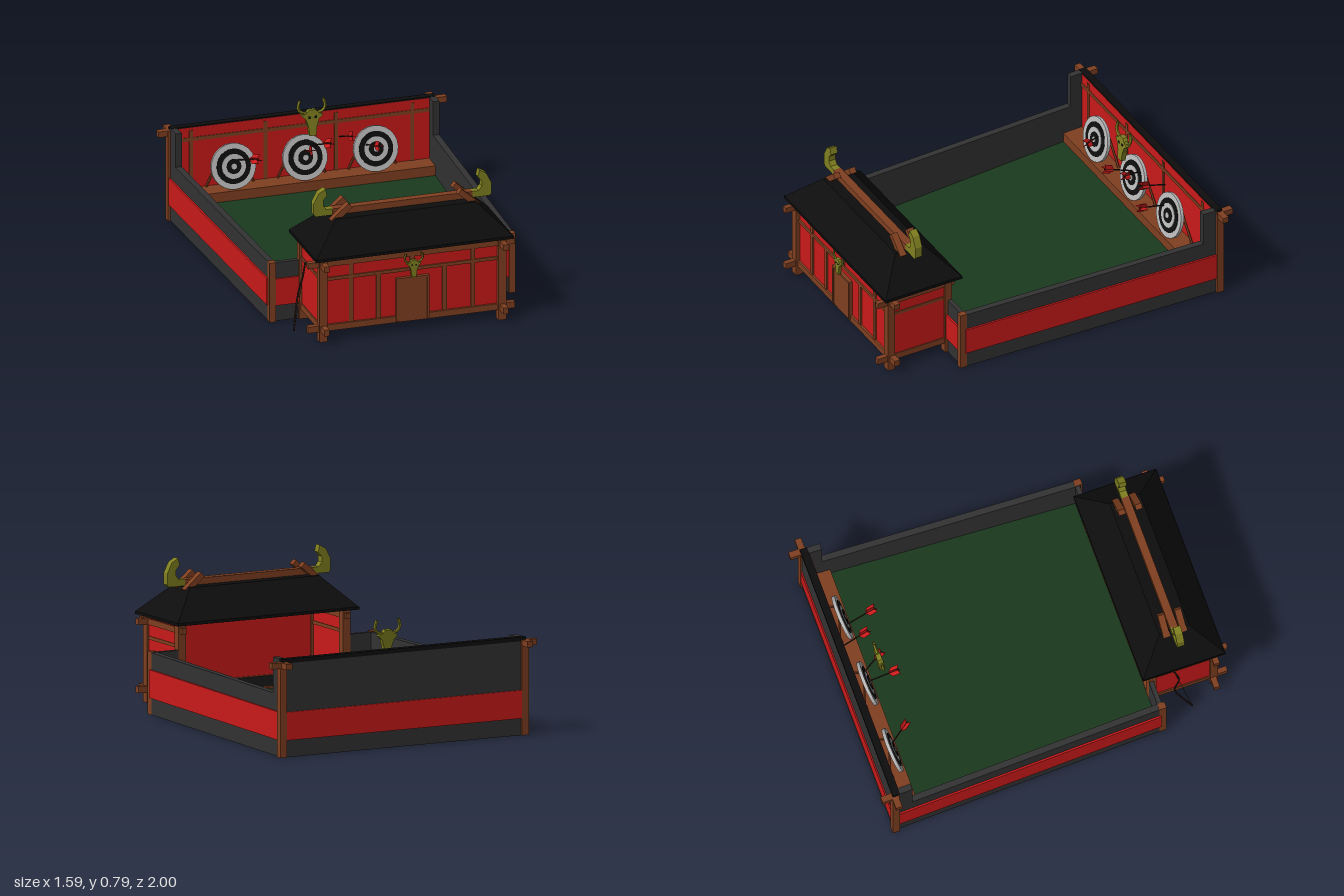
import * as THREE from 'three';

const mat = (color) => new THREE.MeshStandardMaterial({ color, flatShading: true, side: THREE.DoubleSide });
const WOOD = mat(0x804020), RED = mat(0xcc1a1a), DARK = mat(0x333333), BLACK = mat(0x0d0d0d);
const GREEN = mat(0x1a3a1e), BONE = mat(0x808020), WHITE = mat(0xb8b8b8), SHAFT = mat(0x2a1a12);

function add(parent, name, geometry, material) {
  const mesh = new THREE.Mesh(geometry, material);
  mesh.name = name;
  parent.add(mesh);
  return mesh;
}

// Box given by its limits on each axis
function box(parent, name, material, x0, x1, y0, y1, z0, z1) {
  const m = add(parent, name, new THREE.BoxGeometry(x1 - x0, y1 - y0, z1 - z0), material);
  m.position.set((x0 + x1) / 2, (y0 + y1) / 2, (z0 + z1) / 2);
  return m;
}

// Round bar between two points
function rod(parent, name, material, a, b, r) {
  const A = new THREE.Vector3(...a), B = new THREE.Vector3(...b);
  const m = add(parent, name, new THREE.CylinderGeometry(r, r, A.distanceTo(B), 5), material);
  m.position.copy(A).lerp(B, 0.5);
  m.quaternion.setFromUnitVectors(new THREE.Vector3(0, 1, 0), B.sub(A).normalize());
  return m;
}

function outline(points, depth) {
  const shape = new THREE.Shape(points.map(([x, y]) => new THREE.Vector2(x, y)));
  return new THREE.ExtrudeGeometry(shape, { depth, bevelEnabled: false }).translate(0, 0, -depth / 2);
}

// Side wall that slants with the yard
function slantedWall(parent, name, material, side, out, thick, y0, y1, z0, z1) {
  const outer = (z) => 0.675 + (0.59 - z) * 0.037 + out;
  const g = new THREE.BoxGeometry(thick, y1 - y0, z1 - z0);
  g.translate(0, (y0 + y1) / 2, (z0 + z1) / 2);
  const p = g.attributes.position;
  for (let i = 0; i < p.count; i++) p.setX(i, p.getX(i) + side * (outer(p.getZ(i)) - thick / 2));
  add(parent, name, g, material);
}

// Horned skull, about 0.13 high
function skull(name, scale) {
  const g = new THREE.Group();
  g.name = name;
  add(g, 'skullFace', outline([[-0.012, -0.065], [0.012, -0.065], [0.016, -0.03], [0.024, -0.005],
    [0.04, 0.01], [0.022, 0.018], [0.012, 0.03], [-0.012, 0.03], [-0.022, 0.018], [-0.04, 0.01],
    [-0.024, -0.005], [-0.016, -0.03]], 0.018), BONE);
  for (const s of [-1, 1]) {
    const path = new THREE.CatmullRomCurve3([[0.01, 0.015], [0.04, 0.022], [0.05, 0.04], [0.043, 0.066]]
      .map(([x, y]) => new THREE.Vector3(s * x, y, 0)));
    add(g, 'skullHorn', new THREE.TubeGeometry(path, 6, 0.006, 5), BONE);
    const eye = add(g, 'eyeSocket', new THREE.BoxGeometry(0.008, 0.008, 0.004), BLACK);
    eye.position.set(s * 0.011, 0.003, 0.009);
  }
  g.scale.setScalar(scale);
  return g;
}

function makeYard() {
  const g = new THREE.Group();
  g.name = 'yard';
  // Grass, rising gently towards the back
  const grass = add(g, 'grass', new THREE.PlaneGeometry(2, 1.48, 4, 8).rotateX(-Math.PI / 2).translate(0, 0, -0.16), GREEN);
  const p = grass.geometry.attributes.position;
  for (let i = 0; i < p.count; i++) {
    const z = p.getZ(i);
    p.setX(i, p.getX(i) * (0.65 + (0.58 - z) * 0.037));
    p.setY(i, 0.08 + (0.58 - z) * 0.03);
  }
  // Side walls, front wings and posts
  for (const s of [-1, 1]) {
    slantedWall(g, 'sideWall', DARK, s, 0, 0.035, 0, 0.33, -0.91, 0.59);
    slantedWall(g, 'sideBand', RED, s, 0.01, 0.02, 0.09, 0.24, -0.905, 0.57);
    slantedWall(g, 'sideWallRise', DARK, s, 0, 0.035, 0.33, 0.52, -0.91, -0.83);
    const wing = (a, b) => (s > 0 ? [a, b] : [-b, -a]);
    box(g, 'frontWing', DARK, ...wing(0.5, 0.66), 0.05, 0.33, 0.56, 0.585);
    box(g, 'frontWingBand', RED, ...wing(0.5, 0.655), 0.09, 0.24, 0.575, 0.595);
    box(g, 'frontPost', WOOD, ...wing(0.643, 0.678), 0, 0.335, 0.56, 0.6);
    box(g, 'backPost', WOOD, ...wing(0.705, 0.745), 0, 0.5, -0.945, -0.905);
    box(g, 'cornerBeam', WOOD, ...wing(0.705, 0.74), 0.475, 0.507, -1, -0.905);
    box(g, 'beamEnd', WOOD, ...wing(0.7, 0.795), 0.475, 0.507, -0.945, -0.91);
  }
  box(g, 'frontFooting', DARK, -0.66, 0.66, 0, 0.055, 0.56, 0.585);
  // Back wall with timber on its inner face
  box(g, 'backWall', DARK, -0.725, 0.725, 0, 0.5, -0.935, -0.91);
  box(g, 'backWallCap', BLACK, -0.73, 0.73, 0.5, 0.522, -0.94, -0.9);
  box(g, 'backBand', RED, -0.72, 0.72, 0.09, 0.24, -0.942, -0.93);
  box(g, 'innerPanel', RED, -0.7, 0.7, 0.1, 0.515, -0.91, -0.898);
  box(g, 'innerRail', WOOD, -0.7, 0.7, 0.44, 0.46, -0.9, -0.894);
  for (const x of [-0.62, -0.21, 0.18, 0.6]) box(g, 'innerStud', WOOD, x - 0.01, x + 0.01, 0.13, 0.5, -0.9, -0.894);
  box(g, 'targetLedge', WOOD, -0.7, 0.7, 0.08, 0.175, -0.9, -0.785);
  return g;
}

function makeTargets() {
  const g = new THREE.Group();
  g.name = 'targets';
  for (const x of [-0.41, -0.015, 0.375]) {
    const t = new THREE.Group();
    t.name = 'target';
    [[0.123, WHITE], [0.094, BLACK], [0.066, WHITE], [0.04, BLACK], [0.015, WHITE]].forEach(([r, m], i) => {
      const d = add(t, 'targetRing', new THREE.CylinderGeometry(r, r, 0.018, 24).rotateX(Math.PI / 2), m);
      d.position.z = i * 0.0025;
    });
    t.position.set(x, 0.298, -0.828);
    t.rotation.x = -0.24;
    g.add(t);
    for (const s of [-1, 1])
      rod(g, 'easelLeg', WOOD, [x + s * 0.04, 0.39, -0.86], [x + s * 0.13, 0.175, -0.886], 0.007);
  }
  // Arrows: tail, then head
  const arrows = [[-0.31, 0.37, -0.71, -0.39, 0.33, -0.83], [-0.03, 0.4, -0.66, -0.02, 0.34, -0.82],
    [0.09, 0.41, -0.71, 0.03, 0.36, -0.83], [0.22, 0.42, -0.74, 0.2, 0.36, -0.9], [0.34, 0.38, -0.66, 0.32, 0.33, -0.82]];
  for (const [x, y, z, hx, hy, hz] of arrows) {
    const a = rod(g, 'arrow', SHAFT, [hx, hy, hz], [x, y, z], 0.004);
    const end = a.geometry.parameters.height / 2;
    for (let i = 0; i < 2; i++) {
      const f = add(a, 'fletching', outline([[0, -0.06], [0.025, -0.04], [0.025, 0.005], [0, -0.01],
        [-0.025, 0.005], [-0.025, -0.04]], 0.003), RED);
      f.position.y = end;
      f.rotation.y = i * Math.PI / 2;
    }
  }
  const trophy = skull('fieldSkull', 1.5);
  trophy.position.set(0, 0.55, -0.755);
  trophy.rotation.x = -0.08;
  g.add(trophy);
  return g;
}

function makeHut() {
  const g = new THREE.Group();
  g.name = 'hut';
  box(g, 'hutFloor', BLACK, -0.49, 0.49, 0.065, 0.085, 0.57, 0.925);
  box(g, 'hutFrontWall', RED, -0.49, 0.49, 0.07, 0.47, 0.905, 0.92);
  box(g, 'rearSill', WOOD, -0.5, 0.5, 0.055, 0.09, 0.56, 0.59);
  for (const s of [-1, 1]) {
    const c = s * 0.493;
    box(g, 'hutSideWall', RED, c - 0.008, c + 0.008, 0.06, 0.47, 0.58, 0.92);
    for (const z of [0.58, 0.922]) box(g, 'hutPost', WOOD, c - 0.022, c + 0.022, 0, 0.46, z - 0.021, z + 0.021);
    box(g, 'sideTopBeam', WOOD, c - 0.014, c + 0.014, 0.415, 0.447, 0.54, 1);
    box(g, 'sideLowBeam', WOOD, c - 0.014, c + 0.014, 0.055, 0.09, 0.56, 1);
    box(g, 'sideRail', WOOD, c - 0.012, c + 0.012, 0.337, 0.355, 0.58, 0.92);
  }
  box(g, 'frontTopBeam', WOOD, -0.575, 0.565, 0.418, 0.45, 0.9, 0.932);
  box(g, 'frontLowBeam', WOOD, -0.575, 0.565, 0.055, 0.09, 0.9, 0.932);
  box(g, 'frontRail', WOOD, -0.48, 0.48, 0.337, 0.355, 0.915, 0.928);
  for (const x of [-0.335, -0.185, 0.18, 0.335]) {
    const top = Math.abs(x) > 0.3 ? 0.42 : 0.34;
    box(g, 'frontStud', WOOD, x - 0.012, x + 0.012, 0.08, top, 0.915, 0.927);
  }
  box(g, 'centreStud', WOOD, -0.012, 0.012, 0.34, 0.42, 0.915, 0.927);
  // Door with a raised frame
  box(g, 'door', WOOD, -0.08, 0.08, 0.065, 0.295, 0.915, 0.934);
  for (const s of [-1, 1]) box(g, 'doorJamb', WOOD, s * 0.085 - 0.006, s * 0.085 + 0.006, 0.06, 0.305, 0.915, 0.94);
  box(g, 'doorLintel', WOOD, -0.091, 0.091, 0.293, 0.305, 0.915, 0.94);
  const badge = skull('doorSkull', 1);
  badge.position.set(0, 0.378, 0.953);
  g.add(badge);
  // Hipped roof: a box with its top drawn in
  box(g, 'eaves', BLACK, -0.545, 0.545, 0.465, 0.48, 0.515, 0.975);
  const roof = box(g, 'roof', BLACK, -0.545, 0.545, 0.478, 0.637, 0.515, 0.975);
  const p = roof.geometry.attributes.position;
  for (let i = 0; i < p.count; i++)
    if (p.getY(i) > 0) p.setXYZ(i, p.getX(i) * 0.71, p.getY(i), p.getZ(i) * 0.36);
  box(g, 'ridgeBeam', WOOD, -0.385, 0.385, 0.63, 0.672, 0.723, 0.767);
  for (const s of [-1, 1]) {
    const horn = add(g, 'ridgeHorn', outline([[0.38, 0.637], [0.48, 0.637], [0.49, 0.65], [0.49, 0.71], [0.462, 0.766],
      [0.425, 0.787], [0.415, 0.75], [0.437, 0.725], [0.437, 0.695], [0.42, 0.672], [0.38, 0.672]]
      .map(([x, y]) => [s * x, y]), 0.04), BONE);
    horn.position.z = 0.745;
    for (const dz of [-0.047, 0.047]) {
      const brace = add(g, 'ridgeBrace', new THREE.BoxGeometry(0.13, 0.032, 0.036), WOOD);
      brace.position.set(s * 0.35, 0.655, 0.745 + dz);
      brace.rotation.z = -s * 0.72;
    }
  }
  // Bow leaning on the side wall
  const bow = new THREE.CatmullRomCurve3([[-0.515, 0.36, 0.7], [-0.535, 0.29, 0.72], [-0.55, 0.19, 0.69],
    [-0.58, 0.09, 0.73], [-0.6, 0.01, 0.77]].map((v) => new THREE.Vector3(...v)));
  add(g, 'bow', new THREE.TubeGeometry(bow, 16, 0.005, 5), SHAFT);
  rod(g, 'bowString', SHAFT, [-0.515, 0.36, 0.7], [-0.6, 0.01, 0.77], 0.0015);
  return g;
}

export function createModel() {
  const model = new THREE.Group();
  model.name = 'archeryRange';
  model.add(makeYard(), makeTargets(), makeHut());
  return model;
}
